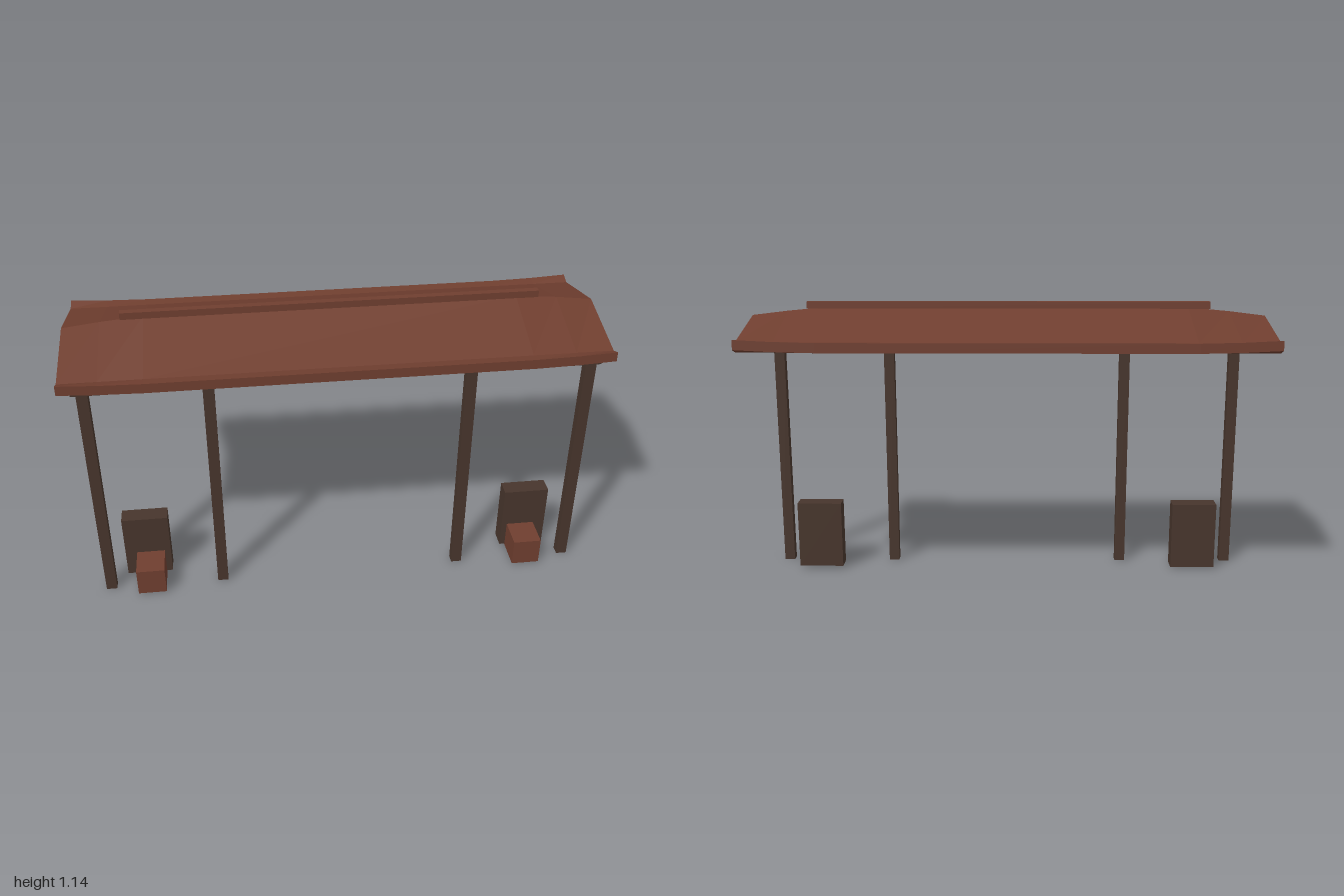
import * as THREE from 'three';

const roofRed = new THREE.MeshStandardMaterial({ name: 'redBrownTimber', color: 0x6f3e2f, flatShading: true });
const darkWood = new THREE.MeshStandardMaterial({ name: 'darkWood', color: 0x47352c, flatShading: true });

// Box given by its limits on each axis
function box(name, mat, [x0, x1], [y0, y1], [z0, z1]) {
  const mesh = new THREE.Mesh(new THREE.BoxGeometry(x1 - x0, y1 - y0, z1 - z0), mat);
  mesh.position.set((x0 + x1) / 2, (y0 + y1) / 2, (z0 + z1) / 2);
  mesh.name = name;
  return mesh;
}

// Roof sheet: gabled section with upturned eaves, ridge dipping and eaves lifting at the ends
function roofGeometry() {
  const thickness = 0.037;
  const stations = [ // x, ridge height, bend height, eave height
    [-1, 1.083, 1.016, 1.031], [-0.86, 1.1, 1.016, 1.024], [-0.7, 1.115, 1.016, 1.02],
    [0.7, 1.115, 1.016, 1.02], [0.86, 1.1, 1.016, 1.024], [1, 1.083, 1.016, 1.031],
  ];
  const zs = [0.325, 0.285, 0, -0.285, -0.325];
  const rings = stations.map(([x, ridge, bend, eave]) => {
    const ys = [eave, bend, ridge, bend, eave];
    const top = zs.map((z, i) => [x, ys[i], z]);
    const under = top.map(([px, y, z]) => [px, y - thickness, z]).reverse();
    return [...top, ...under];
  });
  const pos = [];
  const quad = (a, b, c, d) => pos.push(...a, ...b, ...c, ...a, ...c, ...d);
  const n = zs.length * 2;
  for (let i = 0; i < rings.length - 1; i++) {
    for (let j = 0; j < n; j++) {
      const k = (j + 1) % n;
      quad(rings[i][j], rings[i + 1][j], rings[i + 1][k], rings[i][k]);
    }
  }
  // Gable ends
  const first = rings[0], last = rings[rings.length - 1];
  for (let j = 0; j < zs.length - 1; j++) {
    quad(last[j + 1], last[j], last[n - 1 - j], last[n - 2 - j]);
    quad(first[j], first[j + 1], first[n - 2 - j], first[n - 1 - j]);
  }
  const geo = new THREE.BufferGeometry();
  geo.setAttribute('position', new THREE.Float32BufferAttribute(pos, 3));
  geo.computeVertexNormals();
  return geo;
}

export function createModel() {
  const model = new THREE.Group();
  model.name = 'roofedGate';

  const roof = new THREE.Mesh(roofGeometry(), roofRed);
  roof.name = 'roof';
  model.add(roof);
  model.add(box('ridgeCap', roofRed, [-0.785, 0.785], [1.11, 1.137], [-0.013, 0.013]));

  // Beam on four posts
  model.add(box('beam', darkWood, [-0.97, 0.985], [0.927, 0.96], [0.183, 0.229]));
  for (const x of [-0.93, -0.479, 0.495, 0.949]) {
    model.add(box('post', darkWood, [x - 0.021, x + 0.021], [0, 0.93], [0.188, 0.224]));
  }

  // Standing slab with a block in front of it, on each side
  for (const [slabX, blockX] of [[-0.775, -0.764], [0.791, 0.778]]) {
    model.add(box('slab', darkWood, [slabX - 0.091, slabX + 0.091], [0.01, 0.285], [0.081, 0.149]));
    model.add(box('block', roofRed, [blockX - 0.056, blockX + 0.056], [0.006, 0.118], [0.14, 0.272]));
  }
  return model;
}
